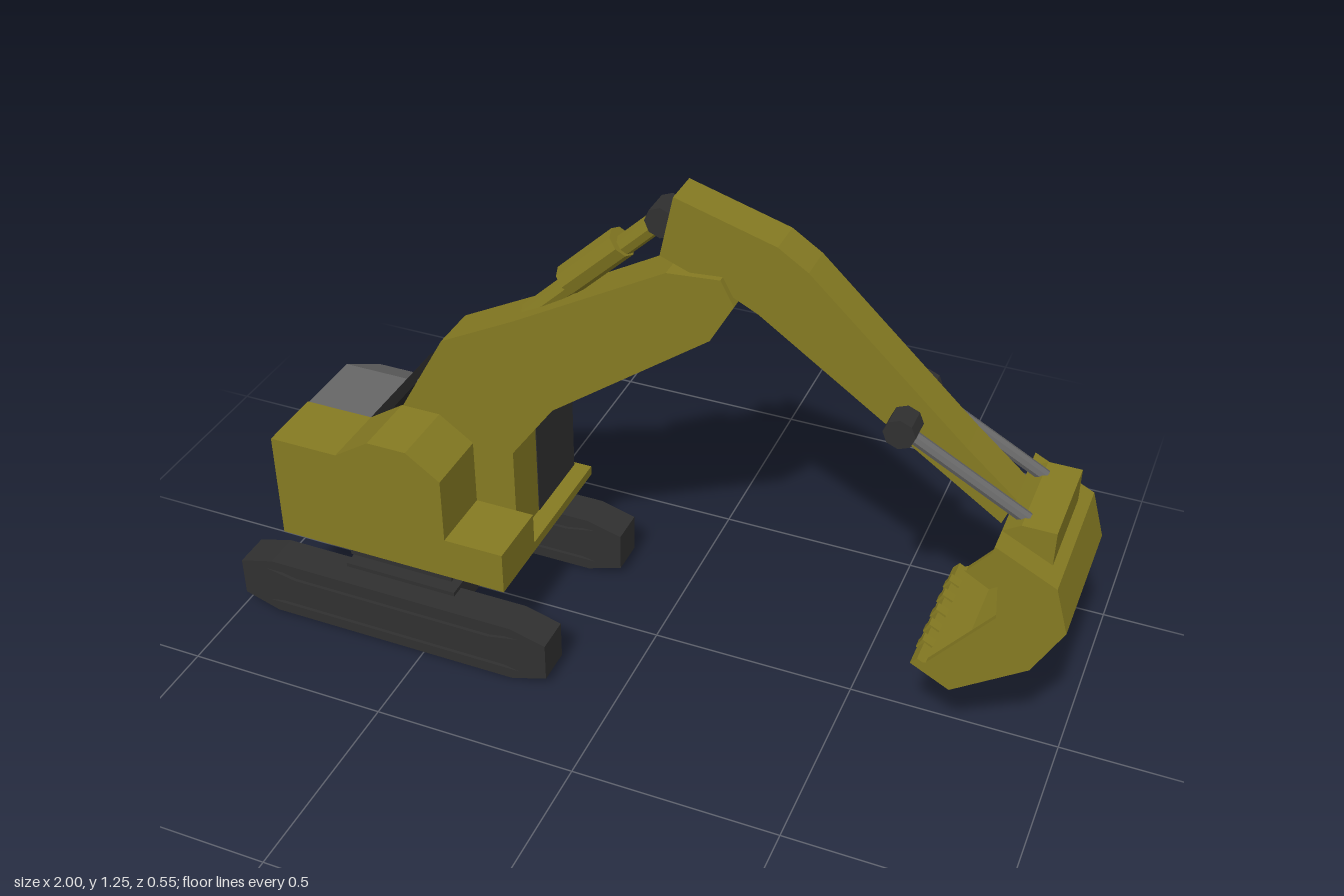
import * as THREE from 'three';

const paint = (color) => new THREE.MeshStandardMaterial({ color, flatShading: true, side: THREE.DoubleSide });
const YELLOW = paint(0x857a22);
const DARK = paint(0x303030);
const BLACK = paint(0x202020);
const GREY = paint(0x666666);

export function createModel() {
  const model = new THREE.Group();
  model.name = 'excavator';

  const add = (name, geometry, material, parent = model) => {
    const mesh = new THREE.Mesh(geometry, material);
    mesh.name = name;
    parent.add(mesh);
    return mesh;
  };
  const group = (name) => {
    const g = new THREE.Group();
    g.name = name;
    model.add(g);
    return g;
  };
  const outline = (points) => points.map(([x, y]) => new THREE.Vector2(x, y));

  // Side profile (x, y) extruded from z0 to z1
  const prism = (points, z0, z1, holes = []) => {
    const shape = new THREE.Shape(outline(points));
    shape.holes = holes.map((h) => new THREE.Path(outline(h)));
    return new THREE.ExtrudeGeometry(shape, { depth: z1 - z0, bevelEnabled: false }).translate(0, 0, z0);
  };
  // Cross profile (z, y) extruded from x0 to x1
  const crossPrism = (points, x0, x1) => prism(points, -x1, -x0).rotateY(-Math.PI / 2);
  const box = (x0, x1, y0, y1, z0, z1) =>
    new THREE.BoxGeometry(x1 - x0, y1 - y0, z1 - z0).translate((x0 + x1) / 2, (y0 + y1) / 2, (z0 + z1) / 2);
  // Cylinder between two points
  const rod = (a, b, radius, sides = 8) => {
    const p = new THREE.Vector3(...a);
    const d = new THREE.Vector3(...b).sub(p);
    const turn = new THREE.Quaternion().setFromUnitVectors(new THREE.Vector3(0, 1, 0), d.clone().normalize());
    return new THREE.CylinderGeometry(radius, radius, d.length(), sides)
      .applyQuaternion(turn)
      .translate(p.x + d.x / 2, p.y + d.y / 2, p.z + d.z / 2);
  };

  // Tracks: solid core with slotted plates on both sides
  const trackProfile = [[-1, 0.03], [-0.91, 0], [-0.26, 0], [-0.17, 0.03],
    [-0.17, 0.13], [-0.26, 0.155], [-0.91, 0.155], [-1, 0.13]];
  const slots = [
    [[-0.93, 0.128], [-0.24, 0.128], [-0.32, 0.112], [-0.85, 0.112]],
    [[-0.93, 0.028], [-0.85, 0.044], [-0.32, 0.044], [-0.24, 0.028]],
  ];
  for (const [name, z] of [['leftTrack', 0.23], ['rightTrack', -0.215]]) {
    const track = group(name);
    add('trackCore', prism(trackProfile, z - 0.037, z + 0.037), DARK, track);
    add('trackOuterPlate', prism(trackProfile, z + 0.037, z + 0.045, slots), DARK, track);
    add('trackInnerPlate', prism(trackProfile, z - 0.045, z - 0.037, slots), DARK, track);
  }

  // Undercarriage and turntable
  add('crossFrame', box(-0.73, -0.435, 0.09, 0.166, -0.2, 0.22), DARK);
  add('slewRing', box(-0.68, -0.49, 0.166, 0.19, -0.125, 0.145), GREY);
  add('turntable', box(-0.72, -0.445, 0.19, 0.22, -0.195, 0.21), DARK);

  // Upper body
  add('floorPlate', box(-0.895, -0.295, 0.22, 0.245, -0.275, 0.228), YELLOW);
  add('sideHousing', prism([[-0.895, 0.24], [-0.295, 0.24], [-0.295, 0.33], [-0.445, 0.33],
    [-0.445, 0.5], [-0.53, 0.56], [-0.63, 0.56], [-0.72, 0.5], [-0.895, 0.5]], 0.06, 0.228), YELLOW);
  add('engineCover', crossPrism([[-0.275, 0.24], [0.06, 0.24], [0.06, 0.5], [-0.12, 0.5],
    [-0.275, 0.405]], -0.892, -0.66), GREY);

  // Cab with bevelled roof edge, roof pane and sloping rear
  const cab = group('cab');
  add('cabBody', crossPrism([[-0.265, 0.24], [-0.06, 0.24], [-0.06, 0.548], [-0.245, 0.548],
    [-0.265, 0.52]], -0.61, -0.338), DARK, cab);
  add('cabRoofPane', box(-0.64, -0.345, 0.545, 0.552, -0.24, -0.07), BLACK, cab);
  add('cabCorner', prism([[-0.6, 0.24], [-0.715, 0.24], [-0.715, 0.42], [-0.655, 0.55], [-0.6, 0.55]],
    -0.255, -0.06), GREY, cab);
  add('cabRear', prism([[-0.65, 0.24], [-0.72, 0.24], [-0.72, 0.5], [-0.65, 0.552]],
    -0.24, 0.06), BLACK, cab);

  // Boom and stick
  add('boom', prism([[-0.64, 0.24], [-0.34, 0.24], [-0.34, 0.5], [-0.233, 0.65], [0.147, 0.933],
    [0.2, 1.03], [0.168, 1.088], [0.045, 1.078], [-0.32, 0.87], [-0.51, 0.77], [-0.63, 0.555]],
  -0.06, 0.06), YELLOW);
  add('stick', prism([[0.055, 1.253], [0.025, 1.108], [0.19, 1.045], [0.25, 1.015], [0.81, 0.63],
    [0.835, 0.7], [0.72, 0.8], [0.355, 1.14], [0.286, 1.185]], -0.045, 0.045), YELLOW);

  // Stick cylinder lying above the boom
  const ram = group('stickCylinder');
  add('ramRod', rod([-0.31, 0.86, 0], [0.02, 1.18, 0], 0.024), YELLOW, ram);
  add('ramBarrel', rod([-0.21, 0.97, 0], [-0.08, 1.095, 0], 0.037), YELLOW, ram);
  add('ramPin', rod([0.022, 1.18, -0.036], [0.022, 1.18, 0.036], 0.036), DARK, ram);

  // Bucket: bent shell between two side plates, open towards the machine
  const bucket = group('bucket');
  const bucketBack = [[0.675, 0.297], [0.767, 0.249], [0.933, 0.366], [0.997, 0.49], [0.965, 0.6], [0.826, 0.67]];
  const bucketInside = [[0.822, 0.65], [0.952, 0.585], [0.978, 0.492], [0.919, 0.378], [0.767, 0.271], [0.69, 0.315]];
  const bucketMouth = [[0.826, 0.64], [0.842, 0.57], [0.848, 0.484], [0.71, 0.31]];
  add('bucketShell', prism([...bucketBack, ...bucketInside], -0.176, 0.178), YELLOW, bucket);
  for (const side of [-1, 1]) {
    const z = side * 0.17;
    add('bucketSide', prism([...bucketBack, ...bucketMouth], z - 0.008, z + 0.008), YELLOW, bucket);
  }
  for (let i = 0; i < 5; i++) {
    const z = -0.11 + i * 0.055;
    add('bucketTooth', prism([[0.672, 0.297], [0.7, 0.287], [0.71, 0.31], [0.685, 0.322]],
      z - 0.012, z + 0.012), YELLOW, bucket);
  }
  add('bucketMount', prism([[0.826, 0.62], [0.94, 0.6], [0.94, 0.695], [0.865, 0.695], [0.826, 0.67]],
    -0.12, 0.12), YELLOW, bucket);

  // Paired bucket linkage rods and their pivots on the stick
  for (const side of [-1, 1]) {
    const linkage = group(side > 0 ? 'leftLinkage' : 'rightLinkage');
    const z = side * 0.08;
    add('linkPivot', rod([0.587, 0.838, side * 0.04], [0.587, 0.838, side * 0.105], 0.036), DARK, linkage);
    add('linkRod', rod([0.587, 0.838, z], [0.87, 0.685, z], 0.015), GREY, linkage);
  }

  return model;
}
